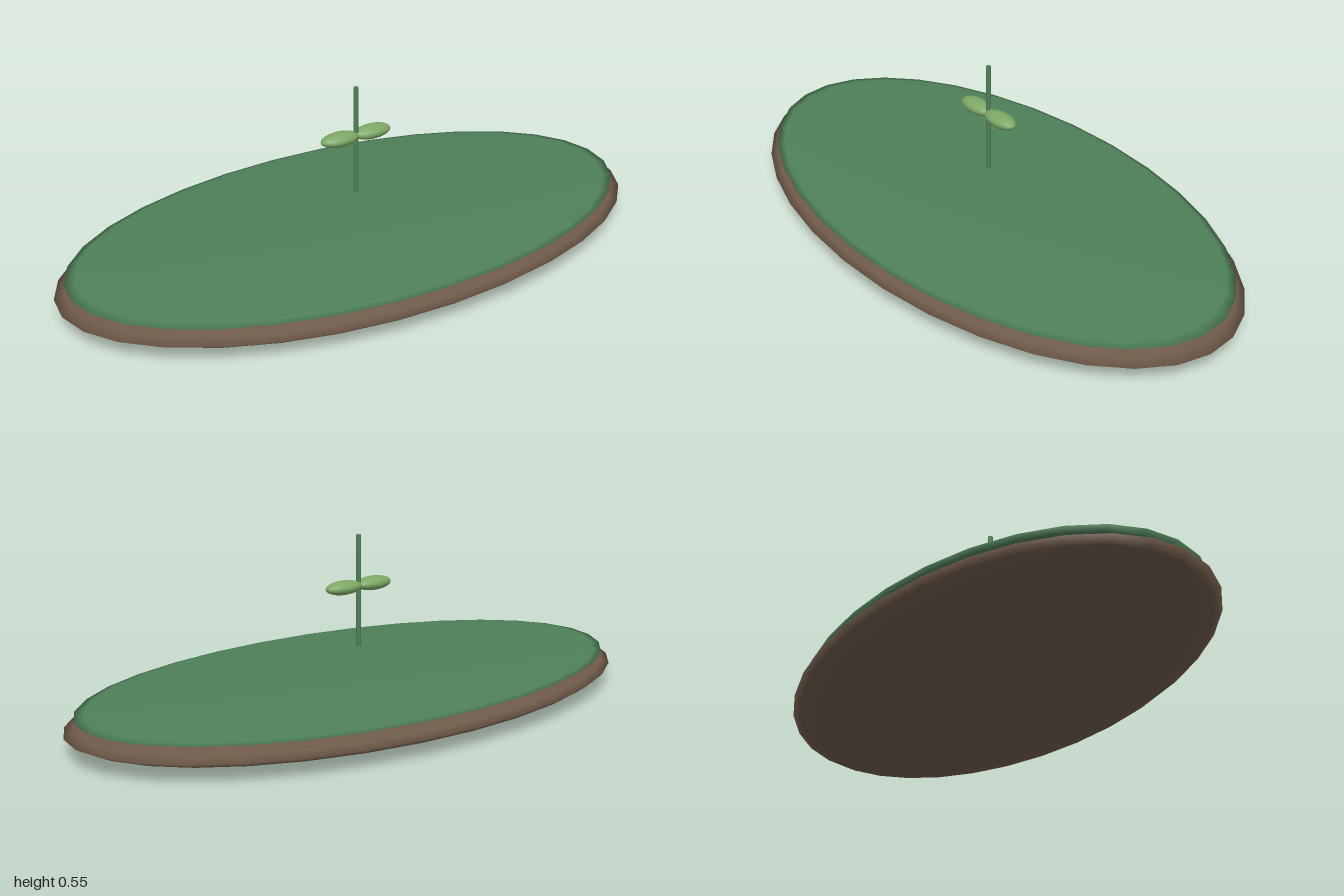
import * as THREE from 'three';

export function createModel() {
  const model = new THREE.Group();
  const material = (name, color) => {
    const m = new THREE.MeshStandardMaterial({ color });
    m.name = name;
    return m;
  };
  const soilBrown = material('soil brown', 0x6f5a49);
  const mossGreen = material('moss green', 0x4f8059);
  const leafGreen = material('leaf green', 0x7da865);

  const add = (name, geometry, mat, x, y) => {
    const mesh = new THREE.Mesh(geometry, mat);
    mesh.name = name;
    mesh.position.set(x, y, 0);
    model.add(mesh);
  };
  const ellipsoid = (rx, ry, rz, around, rings) =>
    new THREE.SphereGeometry(1, around, rings).scale(rx, ry, rz);

  // Flattened soil mound with a thin green cap
  add('soil', ellipsoid(1, 0.06, 0.545, 32, 12), soilBrown, 0, 0.06);
  add('groundCover', ellipsoid(0.968, 0.019, 0.522, 32, 12), mossGreen, 0, 0.1025);

  // Floating sprout: stem and a pair of leaves
  add('stem', new THREE.CylinderGeometry(0.008, 0.008, 0.352, 12), mossGreen, 0, 0.371);
  for (const [name, side] of [['leftLeaf', 1], ['rightLeaf', -1]]) {
    add(name, ellipsoid(0.066, 0.022, 0.034, 24, 16), leafGreen, side * 0.059, 0.388);
  }
  return model;
}
